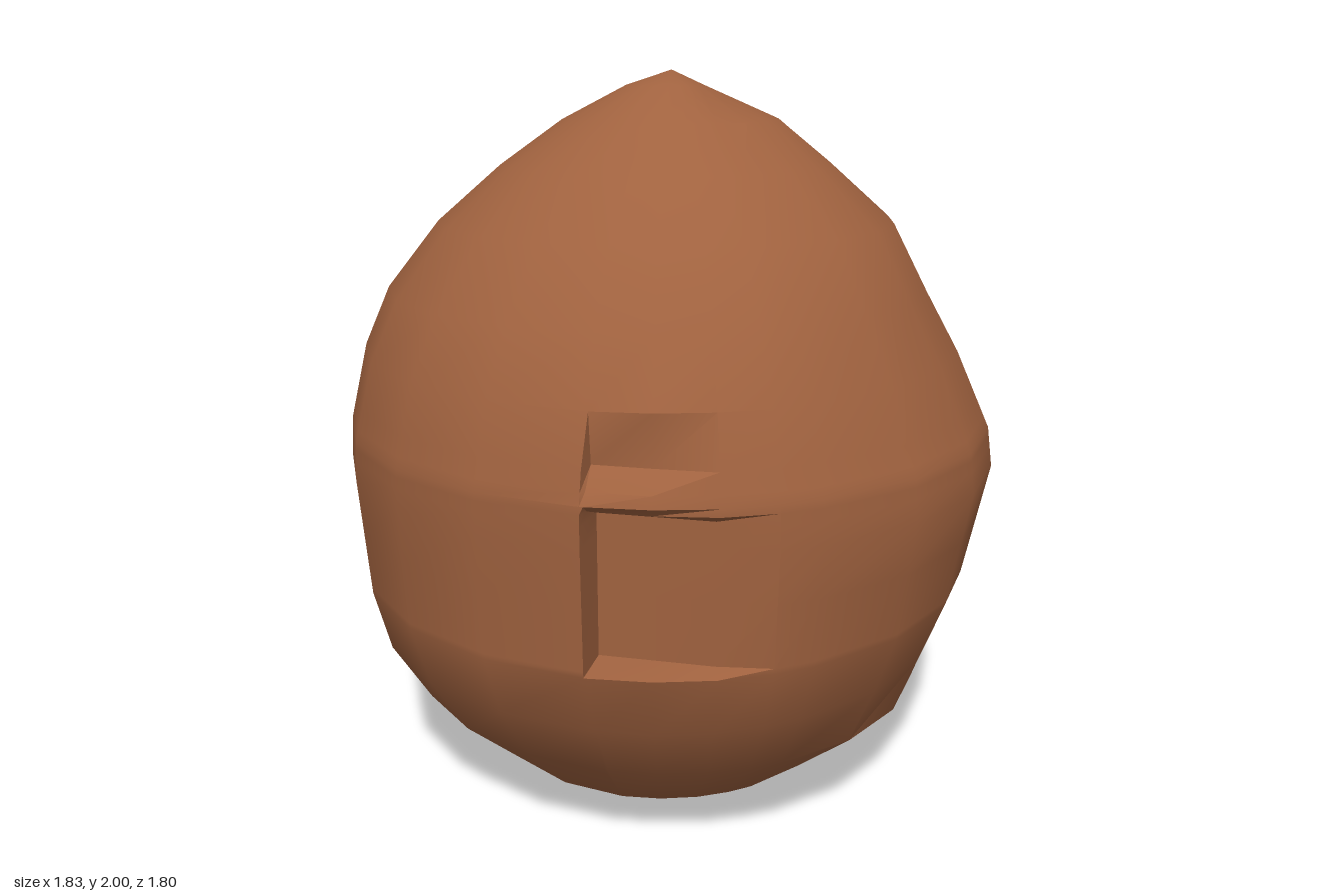
import * as THREE from 'three';
import { toCreasedNormals } from 'three/addons/utils/BufferGeometryUtils.js';

// Height, then reach toward the front, left (+x), back and right (-x)
const PROFILE = [
  [0, 0, 0, 0, 0],
  [0.01, 0.22, 0.1, 0.15, 0.28],
  [0.06, 0.44, 0.42, 0.37, 0.45],
  [0.12, 0.57, 0.51, 0.52, 0.52],
  [0.28, 0.72, 0.72, 0.71, 0.75],
  [0.45, 0.83, 0.78, 0.82, 0.85],
  [0.62, 0.89, 0.845, 0.87, 0.885],
  [0.94, 0.9, 0.91, 0.89, 0.918],
  [1.05, 0.9, 0.895, 0.9, 0.91],
  [1.26, 0.845, 0.8, 0.84, 0.86],
  [1.42, 0.76, 0.71, 0.76, 0.79],
  [1.6, 0.63, 0.615, 0.62, 0.645],
  [1.75, 0.46, 0.445, 0.44, 0.47],
  [1.87, 0.29, 0.3, 0.25, 0.3],
  [1.96, 0.16, 0.09, 0.07, 0.12],
  [2, 0, 0, 0, 0],
];

// Extra heights around the notch: [height, depth limit on the front]
const NOTCH = [[0.635, 0.79], [0.8, 0.79], [0.94, 0.79], [1.0, 0.79], [1.03, 0.87], [1.05, 0.9], [1.08, 0.88], [1.13, 0.83]];

function reach(y, a) {
  let k = 0;
  while (k < PROFILE.length - 2 && PROFILE[k + 1][0] < y) k++;
  const p = PROFILE[k], q = PROFILE[k + 1];
  const t = (y - p[0]) / (q[0] - p[0]);
  const at = (i) => THREE.MathUtils.lerp(p[i], q[i], t);
  const c = Math.cos(a), s = Math.sin(a);
  return c * c * at(c > 0 ? 1 : 3) + s * s * at(s > 0 ? 2 : 4);
}

function bodyGeometry() {
  // Columns run round from the front; the first ones are close for the notch
  const angles = [0, 10, 20, 29, 36];
  for (let d = 54; d < 360; d += 18) angles.push(d);
  angles.push(359.4);
  const heights = [...new Set([...PROFILE.map((p) => p[0]), ...NOTCH.map((n) => n[0])])].sort((a, b) => a - b);

  const pos = [], index = [], n = angles.length;
  heights.forEach((y) => {
    const cut = NOTCH.find((row) => row[0] === y);
    angles.forEach((deg) => {
      const a = THREE.MathUtils.degToRad(deg);
      let r = reach(y, a);
      if (cut && deg < 36) r = Math.min(r, cut[1] / Math.cos(a));
      pos.push(r * Math.sin(a), y, r * Math.cos(a));
    });
  });
  for (let j = 0; j < heights.length - 1; j++) {
    for (let i = 0; i < n; i++) {
      const a = j * n + i, b = j * n + (i + 1) % n;
      if (j > 0) index.push(a, b, b + n);
      if (j < heights.length - 2) index.push(a, b + n, a + n);
      else continue;
    }
  }
  const g = new THREE.BufferGeometry();
  g.setAttribute('position', new THREE.Float32BufferAttribute(pos, 3));
  g.setIndex(index);
  return toCreasedNormals(g, 0.45);
}

export function createModel() {
  const shell = new THREE.MeshStandardMaterial({ color: 0xa0623f });
  shell.name = 'shellBrown';
  const group = new THREE.Group();
  group.name = 'nut';
  // Rounded body with a peaked top and a notch under a ledge in front
  const body = new THREE.Mesh(bodyGeometry(), shell);
  body.name = 'notchedBody';
  group.add(body);
  return group;
}
